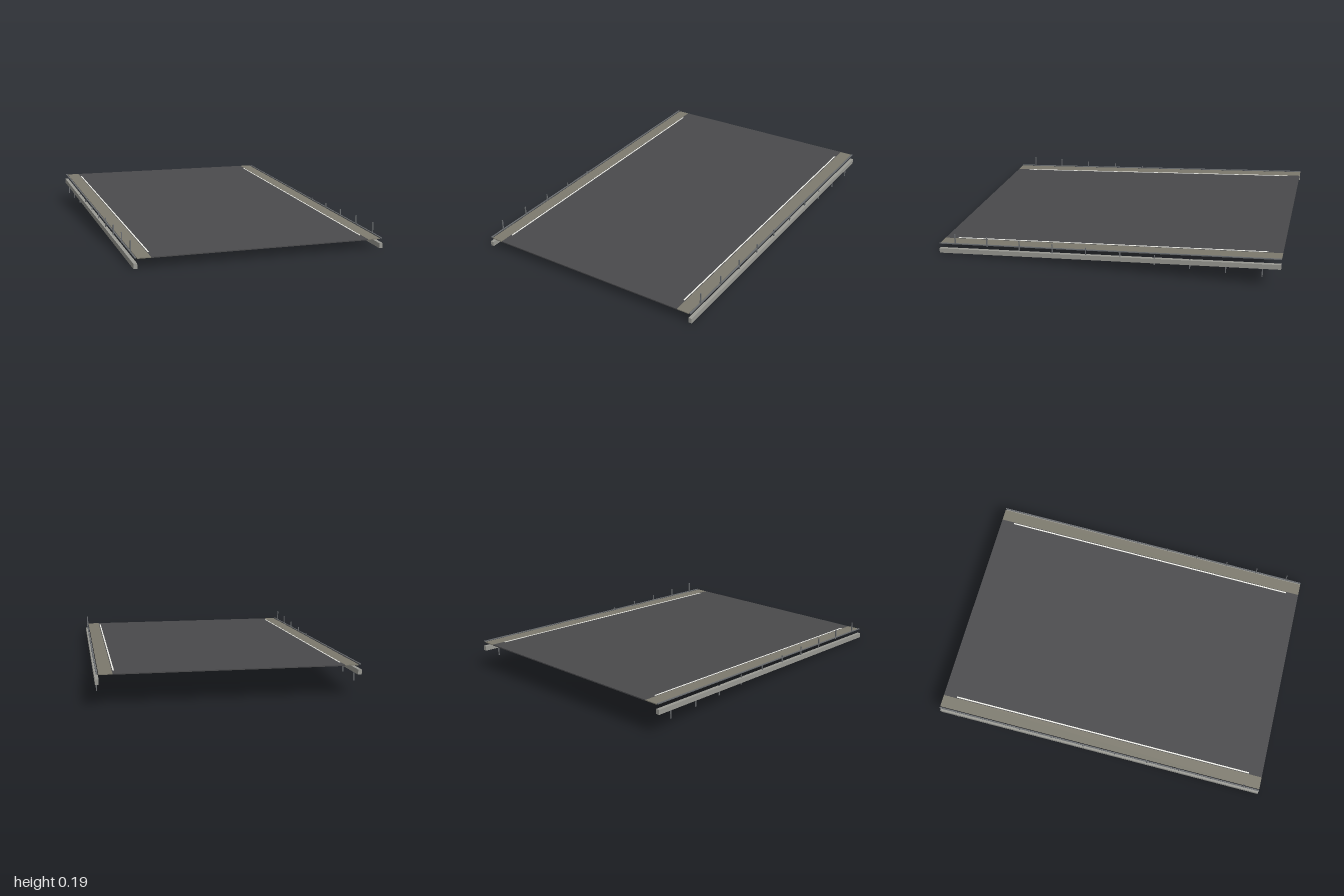
import * as THREE from 'three';

const SLOPE = 0.0625; // rise per unit towards the back

const paint = (color) => new THREE.MeshStandardMaterial({ color });

// Box that follows the ramp: its ends stay vertical while it climbs towards -z
function slopedBox(name, width, height, length, x, y, material) {
  const geometry = new THREE.BoxGeometry(width, height, length);
  const p = geometry.attributes.position;
  for (let i = 0; i < p.count; i++) p.setY(i, p.getY(i) - SLOPE * p.getZ(i));
  geometry.computeVertexNormals();
  const mesh = new THREE.Mesh(geometry, material);
  mesh.name = name;
  mesh.position.set(x, y, 0);
  return mesh;
}

export function createModel() {
  const model = new THREE.Group();
  model.name = 'roadRamp';
  const asphalt = paint(0x4a4a4c);
  const gravel = paint(0x7d7a6e);
  const concrete = paint(0x9a9a94);
  const white = paint(0xf0f0ea);
  const steel = paint(0x6a6d70);

  // Road surface
  model.add(slopedBox('roadDeck', 1.244, 0.006, 2, 0, 0.1165, asphalt));

  for (const side of [1, -1]) {
    const name = side > 0 ? 'left' : 'right';
    const edge = new THREE.Group();
    edge.name = name + 'Edge';

    // Shoulder, painted edge line, thin guard rail and lower kerb beam
    edge.add(slopedBox('shoulder', 0.074, 0.005, 2, side * 0.658, 0.117, gravel));
    edge.add(slopedBox('edgeLine', 0.008, 0.002, 1.84, side * 0.614, 0.12, white));
    edge.add(slopedBox('guardRail', 0.008, 0.005, 2, side * 0.704, 0.1205, steel));
    edge.add(slopedBox('kerbBeam', 0.02, 0.028, 2, side * 0.704, 0.0765, concrete));

    // Level row of upright posts
    for (let i = 0; i < 10; i++) {
      const post = new THREE.Mesh(new THREE.BoxGeometry(0.006, 0.06, 0.006), steel);
      post.name = 'railPost';
      post.position.set(side * 0.704, 0.097, 0.9 - i * 0.2);
      edge.add(post);
    }
    model.add(edge);
  }
  return model;
}
